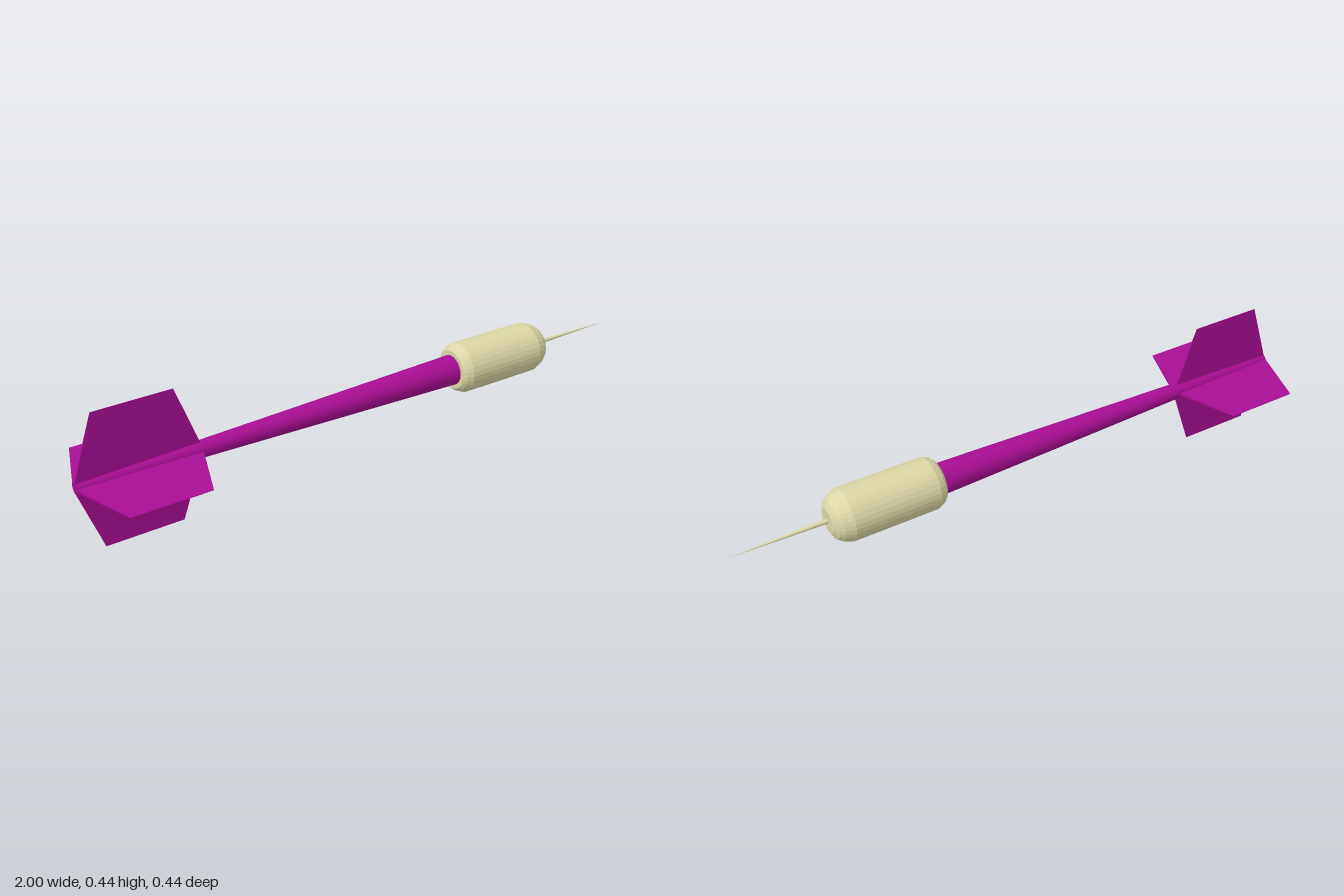
import * as THREE from 'three';

const AXIS_Y = 0.224;

// Turned part along the x axis from [x, radius] pairs, listed back to front
function turned(name, profile, sides, material) {
  const points = profile.map(([x, r]) => new THREE.Vector2(r, x));
  const geometry = new THREE.LatheGeometry(points, sides);
  geometry.rotateZ(-Math.PI / 2);
  const mesh = new THREE.Mesh(geometry, material);
  mesh.name = name;
  return mesh;
}

// Fin plate: wide swept outline, thick at the root and thin at the outer edge
function finGeometry() {
  const root = 0.015, tip = 0.222;
  const geometry = new THREE.BoxGeometry(1, 1, 1);
  const p = geometry.attributes.position;
  for (let i = 0; i < p.count; i++) {
    const outer = p.getY(i) > 0;
    const front = p.getX(i) > 0;
    const x = outer ? (front ? -0.68 : -0.93) : (front ? -0.608 : -1);
    p.setXYZ(i, x, outer ? tip : root, Math.sign(p.getZ(i)) * (outer ? 0.0006 : 0.005));
  }
  geometry.computeVertexNormals();
  return geometry;
}

export function createModel() {
  const group = new THREE.Group();
  group.name = 'dart';
  const purple = new THREE.MeshStandardMaterial({ color: 0xa80e94, flatShading: true });
  const cream = new THREE.MeshStandardMaterial({ color: 0xdcd7a6, flatShading: true });

  const body = new THREE.Group();
  body.name = 'body';
  body.position.y = AXIS_Y;
  group.add(body);

  // Tapered shaft
  body.add(turned('shaft', [[-1, 0], [-1, 0.017], [0.33, 0.051], [0.33, 0]], 32, purple));

  // Weighted barrel with rounded shoulders
  body.add(turned('barrel', [
    [0.315, 0], [0.315, 0.066], [0.325, 0.076], [0.345, 0.085],
    [0.63, 0.085], [0.66, 0.073], [0.674, 0.062], [0.685, 0.04], [0.685, 0],
  ], 32, cream));

  // Needle point
  body.add(turned('needle', [[0.68, 0.008], [0.74, 0.0065], [1, 0]], 12, cream));

  // Four fins around the tail
  const fin = finGeometry();
  for (let i = 0; i < 4; i++) {
    const mesh = new THREE.Mesh(fin, purple);
    mesh.name = 'fin';
    mesh.rotation.x = (i * Math.PI) / 2;
    body.add(mesh);
  }
  return group;
}
